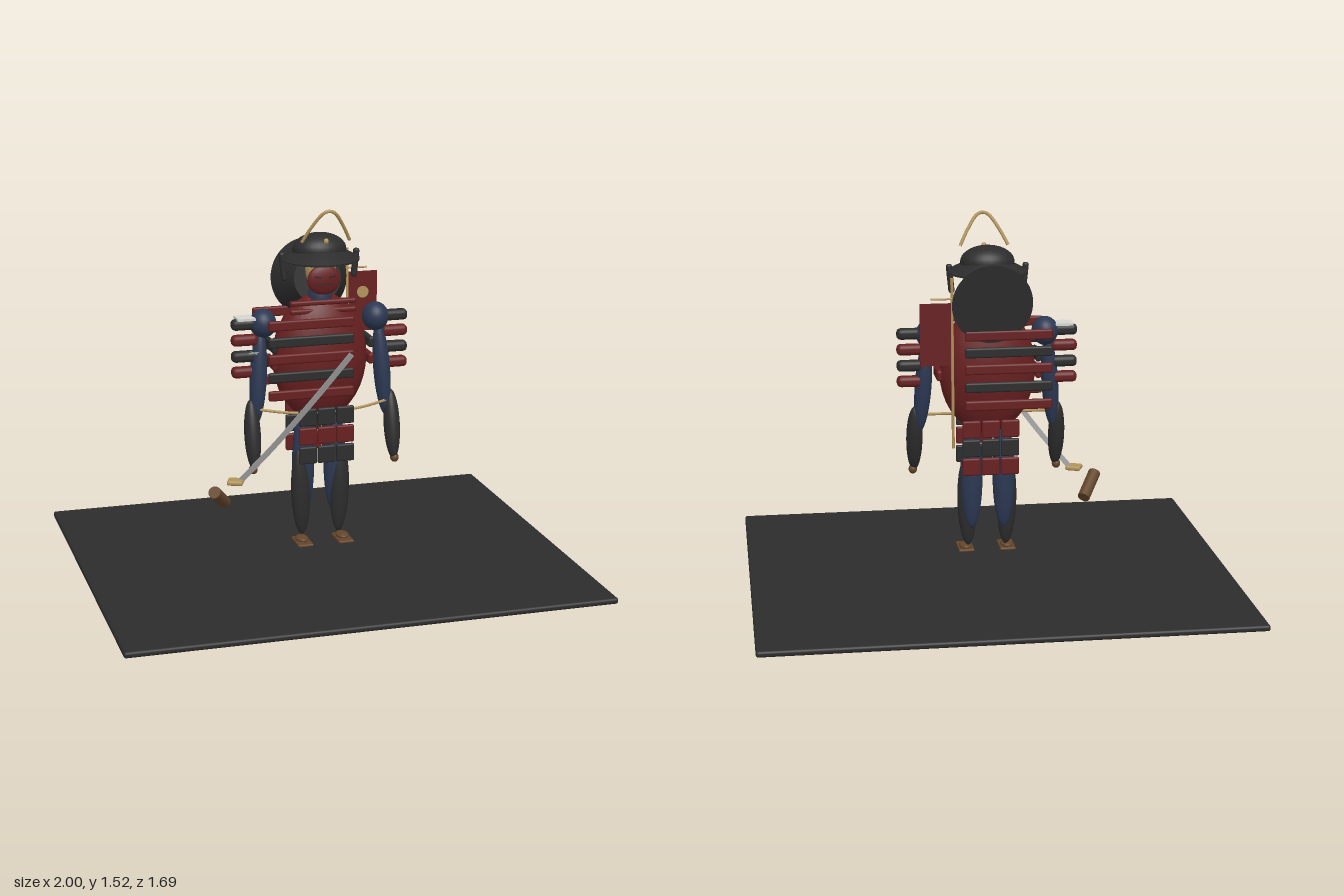
import * as THREE from 'three';
import { RoundedBoxGeometry } from 'three/addons/geometries/RoundedBoxGeometry.js';

const paint = (name, color) => {
  const m = new THREE.MeshStandardMaterial({ color });
  m.name = name;
  return m;
};

export function createModel() {
  const black = paint('black lacquer', 0x2c2c2c), red = paint('dark red', 0x671f20);
  const blue = paint('navy cloth', 0x2b3752), tan = paint('pale gold', 0xb2945c);
  const wood = paint('brown wood', 0x63452a), steel = paint('steel', 0x9c9c9c);
  const pale = paint('pale metal', 0xd6d6d0);
  const model = new THREE.Group();
  const V = (p) => new THREE.Vector3(...p);

  const add = (name, geo, mat, pos = [0, 0, 0], rot = [0, 0, 0]) => {
    const m = new THREE.Mesh(geo, mat);
    m.name = name;
    m.position.set(...pos);
    m.rotation.set(...rot);
    model.add(m);
    return m;
  };
  const box = (name, mat, size, pos, rot) => add(name, new THREE.BoxGeometry(...size), mat, pos, rot);
  const bar = (name, mat, size, pos, rot) =>
    add(name, new RoundedBoxGeometry(...size, 2, Math.min(...size) * 0.4), mat, pos, rot);
  const ball = (name, mat, radii, pos, rot) =>
    add(name, new THREE.SphereGeometry(1, 28, 18).scale(...radii), mat, pos, rot);
  const tube = (name, mat, pts, r) =>
    add(name, new THREE.TubeGeometry(new THREE.CatmullRomCurve3(pts.map(V)), 32, r, 8), mat);
  // Solid stretched between two points
  const rod = (name, mat, a, b, r) => {
    const d = V(b).sub(V(a));
    const m = add(name, new THREE.CylinderGeometry(r, r, d.length(), 14), mat);
    m.position.copy(V(a)).addScaledVector(d, 0.5);
    m.quaternion.setFromUnitVectors(new THREE.Vector3(0, 1, 0), d.normalize());
    return m;
  };

  // Ground plate
  bar('base', black, [2, 0.025, 1.69], [0, 0.0125, 0]);

  // Torso with laced plates in front and behind
  ball('torso', red, [0.2, 0.27, 0.11], [0, 0.885, 0.005]);
  [1.055, 0.985, 0.915, 0.84, 0.764].forEach((y, i) => {
    const mat = i % 2 ? black : red;
    bar('chestPlate', mat, [0.36, 0.042, 0.02], [-0.07, y, 0.13]);
    bar('backPlate', mat, [0.36, 0.042, 0.02], [-0.07, y, -0.13]);
  });
  for (const y of [1.125, 1.09]) bar('collarPlate', red, [0.28, 0.022, 0.03], [0, y, 0.055]);
  tube('waistCord', tan, [[-0.29, 0.69, 0.04], [-0.15, 0.677, 0.09], [0, 0.67, 0.1],
    [0.15, 0.677, 0.09], [0.3, 0.69, 0.04]], 0.006);

  // Skirt plates, three columns of three
  for (const x of [-0.08, 0, 0.08]) {
    [0.657, 0.576, 0.495].forEach((y, i) => {
      bar('frontSkirtPlate', i === 1 ? red : black, [0.076, 0.074, 0.018], [x, y, 0.11]);
      bar('backSkirtPlate', i === 1 ? black : red, [0.076, 0.074, 0.018], [x, y, -0.105 + i * 0.004]);
    });
  }

  // Limbs and side armour
  for (const s of [1, -1]) {
    ball('shoulder', blue, [0.055, 0.06, 0.058], [s * 0.24, 1.04, 0.005]);
    ball('upperArm', blue, [0.035, 0.2, 0.037], [s * 0.265, 0.82, 0.02], [-0.06, 0, s * 0.07]);
    ball('forearmGuard', black, [0.034, 0.147, 0.036], [s * 0.3, 0.585, 0.055], [-0.2, 0, 0]);
    ball('hand', wood, [0.018, 0.02, 0.02], [s * 0.305, 0.445, 0.08]);
    ball('thigh', blue, [0.047, 0.23, 0.038], [s * 0.068, 0.43, -0.005]);
    ball('shinGuard', black, [0.04, 0.19, 0.03], [s * 0.085, 0.31, 0.015], [0, 0, s * -0.03]);
    bar('sandal', wood, [0.066, 0.012, 0.12], [s * 0.088, 0.1, 0.053]);
    ball('foot', wood, [0.027, 0.013, 0.04], [s * 0.088, 0.111, 0.042]);
    [1.042, 0.976, 0.908, 0.842].forEach((y, i) =>
      bar('shoulderPlate', i % 2 ? red : black, [0.11, 0.046, 0.05], [s * 0.32, y, 0.01]));
    bar('sidePlate', black, [0.025, 0.045, 0.13], [s * 0.205, 0.945, 0.005]);
    bar('sidePlate', red, [0.025, 0.045, 0.13], [s * 0.205, 0.875, 0.005]);
  }
  box('shoulderCap', pale, [0.075, 0.01, 0.075], [-0.318, 1.068, 0.012]);

  // Head and mask
  ball('neck', blue, [0.05, 0.07, 0.05], [0, 1.135, 0.015]);
  ball('head', tan, [0.063, 0.085, 0.055], [0, 1.255, 0.02]);
  ball('mask', red, [0.07, 0.062, 0.022], [0, 1.22, 0.068]);
  for (const s of [1, -1]) {
    box('eye', black, [0.028, 0.006, 0.008], [s * 0.03, 1.235, 0.086], [0, s * 0.3, s * 0.15]);
    box('moustache', black, [0.035, 0.005, 0.008], [s * 0.02, 1.205, 0.087], [0, s * 0.2, s * -0.15]);
  }

  // Helmet
  ball('helmetDome', black, [0.112, 0.068, 0.09], [0, 1.335, 0.002]);
  const brim = [[0.085, 1.325], [0.165, 1.292], [0.165, 1.3], [0.085, 1.34]]
    .map(([x, y]) => new THREE.Vector2(x, y));
  const brimMesh = add('helmetBrim', new THREE.LatheGeometry(brim, 40), black);
  brimMesh.material.side = THREE.DoubleSide;
  for (const s of [1, -1])
    bar('helmetFlap', black, [0.025, 0.12, 0.025], [s * 0.153, 1.27, 0], [0, 0, s * -0.1]);
  tube('crest', tan, [[-0.1, 1.385, 0.095], [-0.065, 1.45, 0.12], [-0.025, 1.505, 0.143],
    [0, 1.515, 0.147], [0.025, 1.505, 0.143], [0.065, 1.45, 0.12], [0.1, 1.385, 0.095]], 0.007);
  ball('crestBoss', tan, [0.01, 0.012, 0.01], [0, 1.385, 0.103]);

  // Wide hat slung on the back
  add('backHat', new THREE.CylinderGeometry(0.165, 0.1, 0.13, 40), black,
    [0, 1.197, -0.088], [-Math.PI / 2 - 0.14, 0, 0]);

  // Banner
  rod('bannerPole', tan, [0.165, 1.3, -0.15], [0.155, 0.58, -0.1], 0.006);
  rod('bannerCrossbar', tan, [0.14, 1.215, -0.15], [0.25, 1.215, -0.15], 0.004);
  box('banner', red, [0.125, 0.255, 0.009], [0.232, 1.07, -0.15]);
  add('bannerDisc', new THREE.CylinderGeometry(0.025, 0.025, 0.005, 24), tan,
    [0.232, 1.11, -0.144], [Math.PI / 2, 0, 0]);

  // Curved sword with square guard and separate grip
  const path = new THREE.CatmullRomCurve3([[-0.37, 0.415, 0.125], [-0.24, 0.57, 0.177],
    [-0.085, 0.78, 0.25], [0.043, 0.965, 0.315]].map(V));
  const edge = new THREE.Shape([[-0.004, -0.011], [0.004, -0.011], [0.004, 0.011], [-0.004, 0.011]]
    .map(([x, y]) => new THREE.Vector2(x, y)));
  add('swordBlade', new THREE.ExtrudeGeometry(edge, { steps: 24, extrudePath: path }), steel);
  bar('swordGuard', tan, [0.065, 0.02, 0.06], [-0.39, 0.412, 0.122], [0, -0.4, 0]);
  rod('swordGrip', wood, [-0.483, 0.38, 0.137], [-0.418, 0.3, 0.04], 0.026);

  // Small throwing star beside the shoulder plates
  for (let i = 0; i < 2; i++)
    box('throwingStar', steel, [0.045, 0.004, 0.005], [-0.315, 0.955, 0.147], [0, Math.PI * (0.1 + i / 2), 0]);

  return model;
}
